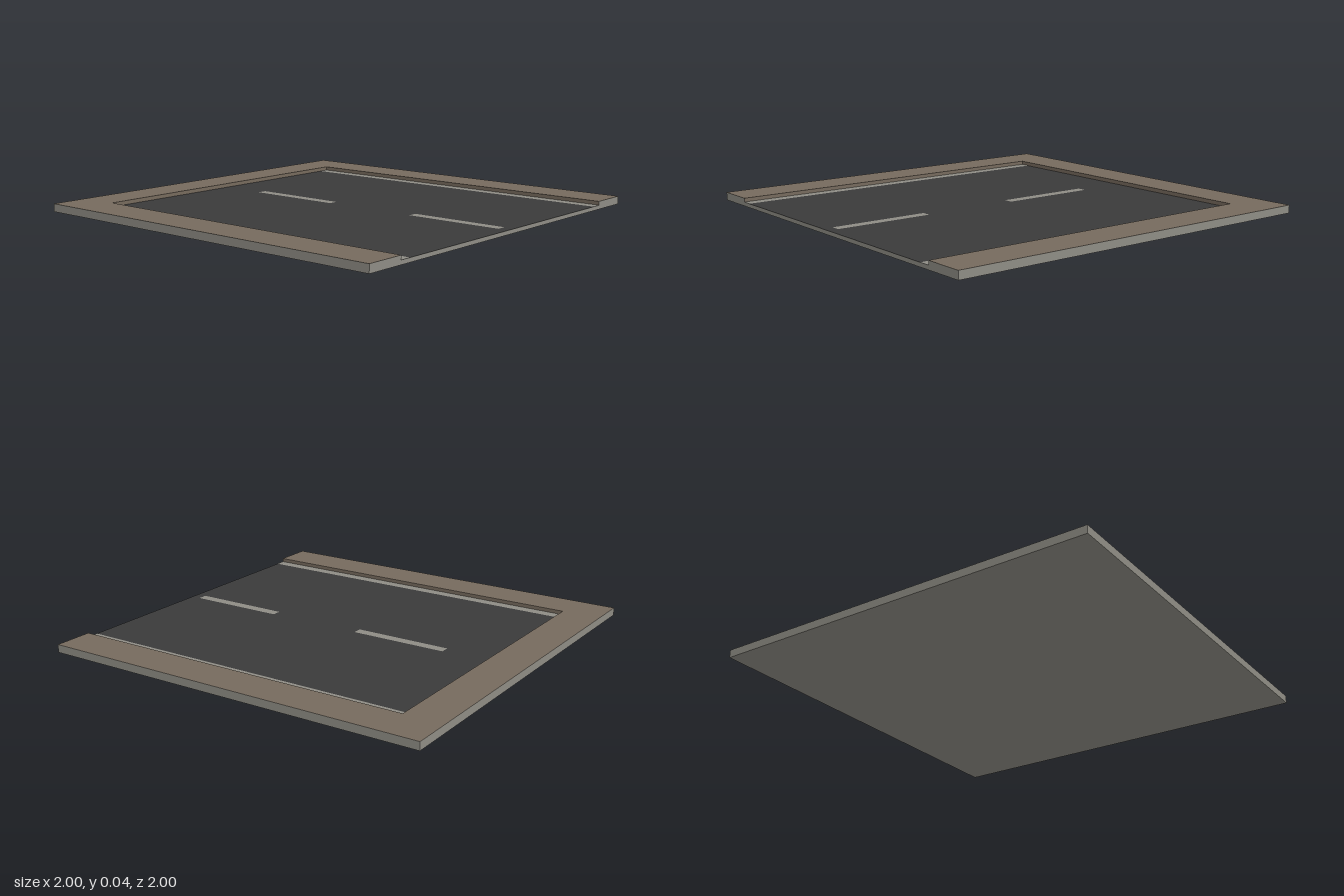
import * as THREE from 'three';

const H = 0.04;      // verge height
const ROAD = 0.02;   // road surface height
const IN = 0.8;      // half width of the road bed

export function createModel() {
  const model = new THREE.Group();
  model.name = 'roadEndTile';
  const mat = (name, color) => {
    const m = new THREE.MeshStandardMaterial({ color });
    m.name = name;
    return m;
  };
  const concrete = mat('paleGrey', 0x8e8c84);
  const earth = mat('earthBrown', 0x766a5d);
  const asphalt = mat('asphalt', 0x3a3a3a);

  const add = (name, geometry, material, x = 0, y = 0, z = 0) => {
    const mesh = new THREE.Mesh(geometry, material);
    mesh.name = name;
    mesh.position.set(x, y, z);
    model.add(mesh);
    return mesh;
  };
  const polygon = (pts) => new THREE.ShapeGeometry(
    new THREE.Shape(pts.map(([x, y]) => new THREE.Vector2(x, y))));
  const wall = (name, width, y0, y1, material, x, z, turn) => {
    add(name, new THREE.PlaneGeometry(width, y1 - y0), material, x, (y0 + y1) / 2, z).rotation.y = turn;
  };
  const floor = (w, d) => new THREE.PlaneGeometry(w, d).rotateX(-Math.PI / 2);

  // Underside
  add('underside', new THREE.PlaneGeometry(2, 2).rotateX(Math.PI / 2), concrete);

  // Raised verge on three sides, open at the front
  add('vergeTop', polygon([[-1, -1], [-IN, -1], [-IN, IN], [IN, IN], [IN, -1], [1, -1], [1, 1], [-1, 1]])
    .rotateX(-Math.PI / 2), earth, 0, H, 0);

  // Outer edges
  add('frontEdge', polygon([[-1, 0], [1, 0], [1, H], [IN, H], [IN, ROAD], [-IN, ROAD], [-IN, H], [-1, H]]),
    concrete, 0, 0, 1);
  wall('backEdge', 2, 0, H, concrete, 0, -1, Math.PI);

  // Road bed and the inner face behind it
  add('roadSurface', floor(2 * IN, 1 + IN), asphalt, 0, ROAD, (1 - IN) / 2);
  wall('backKerb', 2 * IN, ROAD, H, earth, 0, -IN, 0);

  // Side edges, kerbs and painted edge lines
  for (const [side, s] of [['left', 1], ['right', -1]]) {
    wall(side + 'Edge', 2, 0, H, concrete, s, 0, s * Math.PI / 2);
    wall(side + 'Kerb', 1 + IN, ROAD, H, earth, s * IN, (1 - IN) / 2, -s * Math.PI / 2);
    add(side + 'EdgeLine', floor(0.055, 1 + IN), concrete, s * (IN - 0.0275), ROAD + 0.001, (1 - IN) / 2);
  }

  // Centre dashes
  for (const z of [-0.3, 0.7]) {
    add('centreDash', floor(0.048, 0.5), concrete, -0.002, ROAD + 0.001, z);
  }
  return model;
}
